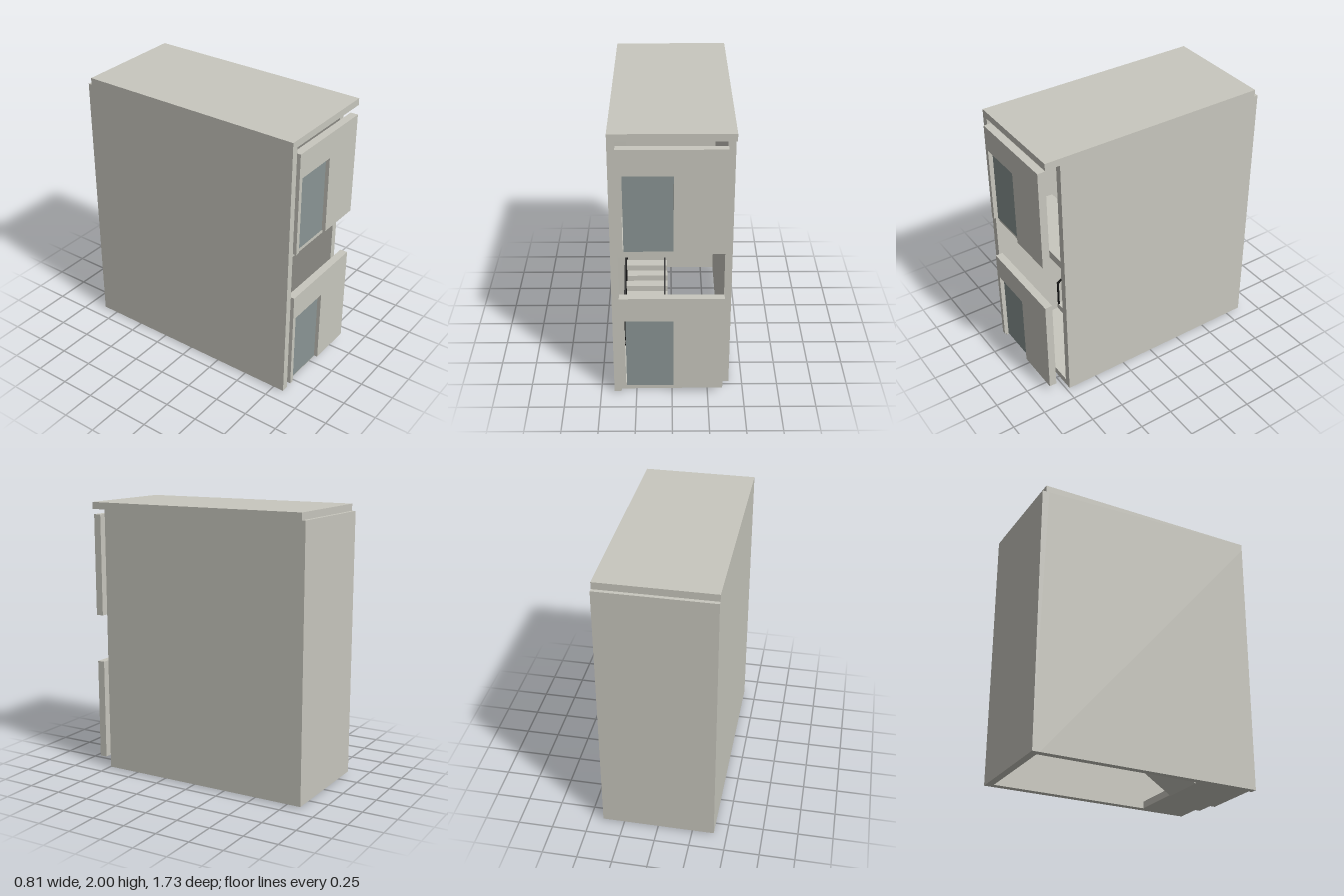
import * as THREE from 'three';

const wallMat = new THREE.MeshStandardMaterial({ color: 0xc8c7be });
const glassMat = new THREE.MeshStandardMaterial({ color: 0x8a9594 });
const railMat = new THREE.MeshStandardMaterial({ color: 0x151515 });

// Box given by its min and max along each axis
function box(parent, name, [x0, x1], [y0, y1], [z0, z1], mat = wallMat) {
  const mesh = new THREE.Mesh(new THREE.BoxGeometry(x1 - x0, y1 - y0, z1 - z0), mat);
  mesh.position.set((x0 + x1) / 2, (y0 + y1) / 2, (z0 + z1) / 2);
  mesh.name = name;
  parent.add(mesh);
  return mesh;
}

const RISERS = 12, RISE = 0.55, RUN = 0.85, WIDTH = 0.325, SLAB = 0.06;
const FRONT_EDGE = 0.37, BACK_EDGE = FRONT_EDGE - RUN;
const r = RISE / RISERS, t = RUN / (RISERS - 1);

// Flight climbing along local +x, its width along local +z
function flight(name) {
  const g = new THREE.Group();
  g.name = name;
  const s = new THREE.Shape();
  s.moveTo(0, -SLAB);
  s.lineTo(RUN, RISE - SLAB);
  for (let i = RISERS - 1; i >= 1; i--) {
    s.lineTo(i * t, i * r);
    s.lineTo((i - 1) * t, i * r);
  }
  s.closePath();
  const steps = new THREE.Mesh(
    new THREE.ExtrudeGeometry(s, { depth: WIDTH, bevelEnabled: false }), wallMat);
  steps.name = 'steps';
  g.add(steps);

  // Handrail and posts on both sides
  const h = 0.26, w = 0.012;
  for (const z of [0.01, 0.305]) {
    const rail = new THREE.Mesh(
      new THREE.BoxGeometry(Math.hypot(RUN, RISE), w, w), railMat);
    rail.position.set(RUN / 2, RISE / 2 + h - w / 2, z);
    rail.rotation.z = Math.atan2(RISE, RUN);
    rail.name = 'handrail';
    g.add(rail);
    for (let i = 0; i < RISERS; i += 2) {
      const x = Math.min(i * t + w / 2, RUN);
      const y = i * r;
      box(g, 'railPost', [x - w / 2, x + w / 2], [y, y + h - w / 2], [z - w / 2, z + w / 2], railMat);
    }
    box(g, 'railPost', [RUN - w, RUN], [RISE - r, RISE + h - w], [z - w / 2, z + w / 2], railMat);
  }
  return g;
}

// Front panel with a doorway open at the bottom, and its glazing
function frontPanel(y) {
  const g = new THREE.Group();
  g.name = 'frontPanel';
  const s = new THREE.Shape();
  [[-0.357, 0], [-0.325, 0], [-0.325, 0.565], [0.01, 0.565], [0.01, 0],
    [0.353, 0], [0.353, 0.747], [-0.357, 0.747]]
    .forEach(([px, py], i) => (i ? s.lineTo(px, py) : s.moveTo(px, py)));
  s.closePath();
  const panel = new THREE.Mesh(
    new THREE.ExtrudeGeometry(s, { depth: 0.055, bevelEnabled: false }), wallMat);
  panel.position.z = 0.81;
  panel.name = 'panel';
  g.add(panel);
  box(g, 'glassDoor', [-0.318, 0.01], [0, 0.563], [0.825, 0.837], glassMat);
  g.position.y = y;
  return g;
}

export function createModel() {
  const model = new THREE.Group();
  model.name = 'stairwell';

  // Shell: the left wall stops short of the front, leaving a side opening
  box(model, 'rightWall', [-0.407, -0.357], [0.01, 1.95], [-0.81, 0.838]);
  box(model, 'leftWall', [0.355, 0.405], [0.01, 1.95], [-0.81, 0.73]);
  box(model, 'backWall', [-0.407, 0.405], [0.01, 1.95], [-0.862, -0.81]);
  box(model, 'roof', [-0.407, 0.405], [1.95, 2], [-0.835, 0.838]);

  // Storey landings with a deeper door threshold on one side
  for (const y of [0.06, 1.16]) {
    box(model, 'landing', [-0.357, 0.355], [y - (y < 1 ? 0.05 : SLAB), y], [FRONT_EDGE, 0.73]);
    box(model, 'threshold', [-0.357, 0.07], [y - (y < 1 ? 0.05 : SLAB), y], [0.73, 0.81]);
    model.add(frontPanel(y));
  }

  // Half landing at the back
  box(model, 'halfLanding', [-0.357, 0.355], [0.55, 0.61], [-0.81, BACK_EDGE]);

  const lower = flight('lowerFlight');
  lower.rotation.y = Math.PI / 2;
  lower.position.set(-0.357, 0.06, FRONT_EDGE);
  const upper = flight('upperFlight');
  upper.rotation.y = -Math.PI / 2;
  upper.position.set(0.355, 0.61, BACK_EDGE);
  model.add(lower, upper);

  return model;
}
